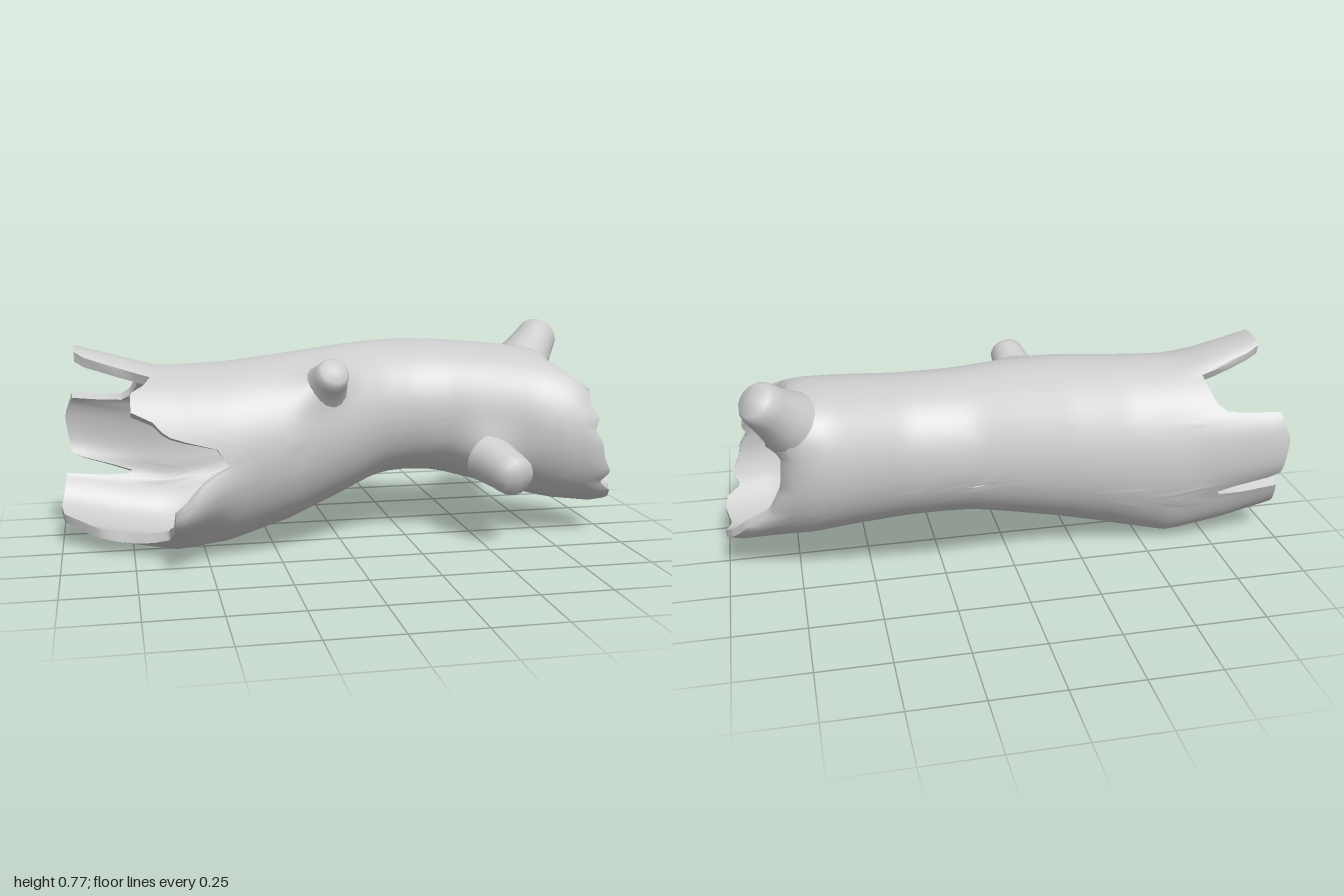
import * as THREE from 'three';
import { mergeVertices, toCreasedNormals } from 'three/addons/utils/BufferGeometryUtils.js';

const { clamp, degToRad, smoothstep } = THREE.MathUtils;
const material = new THREE.MeshStandardMaterial({ color: 0xcccccc, side: THREE.DoubleSide });

// Outline of the trunk along x: [x, bottom y, top y, back z, front z]
const SECTIONS = [
  [-1.0, 0.09, 0.68, -0.28, 0.24], [-0.8, 0.04, 0.67, -0.28, 0.25], [-0.6, 0.005, 0.665, -0.28, 0.27],
  [-0.42, 0.03, 0.672, -0.275, 0.28], [-0.2, 0.095, 0.695, -0.295, 0.26], [0, 0.165, 0.713, -0.335, 0.18],
  [0.15, 0.22, 0.72, -0.38, 0.115], [0.25, 0.23, 0.722, -0.387, 0.095], [0.38, 0.225, 0.72, -0.378, 0.095],
  [0.55, 0.185, 0.71, -0.335, 0.15], [0.7, 0.145, 0.695, -0.3, 0.205], [0.8, 0.125, 0.67, -0.25, 0.225],
  [1.0, 0.105, 0.6, -0.2, 0.23],
];
// Broken ends: [angle in degrees, x]; 0 faces front, 90 up, 180 back, 270 down
const LEFT_END = [
  [0, -0.43], [12, -0.47], [22, -0.64], [30, -0.68], [36, -0.75], [50, -0.75], [58, -0.7], [66, -0.68],
  [71, -0.76], [76, -0.93], [106, -0.93], [111, -0.82], [117, -0.71], [128, -0.72], [140, -0.74], [148, -0.78],
  [153, -0.95], [170, -0.98], [194, -0.96], [200, -0.74], [205, -0.76], [210, -0.98], [240, -1.0], [252, -0.99],
  [262, -0.93], [280, -0.86], [288, -0.76], [300, -0.68], [310, -0.63], [345, -0.62], [353, -0.53], [360, -0.43],
];
const RIGHT_END = [
  [0, 0.93], [10, 0.9], [20, 0.92], [30, 0.89], [48, 0.9], [56, 0.85], [66, 0.79], [90, 0.78], [115, 0.82],
  [140, 0.84], [160, 0.79], [185, 0.8], [205, 0.84], [220, 0.93], [240, 0.98], [255, 1.0], [275, 0.98],
  [300, 1.0], [312, 0.99], [322, 0.94], [335, 0.97], [348, 0.94], [360, 0.93],
];
// Swellings of the bark at the branch feet: [x, angle, height, spread in x, spread in angle]
const SWELLINGS = [[-0.085, 40, 0.045, 0.08, 15], [0.52, 331, 0.05, 0.1, 20], [0.78, 138, 0.06, 0.1, 24]];

// Linear lookup in a table; returns the row's values after the key
function lookup(table, key) {
  let i = 1;
  while (i < table.length - 1 && table[i][0] < key) i++;
  const [a, b] = [table[i - 1], table[i]];
  const t = clamp((key - a[0]) / (b[0] - a[0]), 0, 1);
  return a.slice(1).map((v, k) => v + (b[k + 1] - v) * t);
}

// Signed angle from centre to deg, and a bell curve
const turn = (deg, centre) => ((deg - centre + 540) % 360) - 180;
const bell = (d, spread) => Math.exp(-((d / spread) ** 2));

// Outward flare of the left end: front lip, top and back splinters, sagging lower back
function flareAt(x, deg) {
  const d = turn(deg, 345);
  const lip = 0.45 * bell(d, d < 0 ? 20 : 13) * bell(x + 0.62, 0.13);
  const bend = clamp((-0.66 - x) / 0.28, 0, 1);
  const top = 0.22 * bend * Math.exp(-(((deg - 91) / 22) ** 4));
  const back = 0.2 * bend * Math.exp(-(((deg - 172) / 27) ** 4));
  const sag = 0.08 * bell(deg - 232, 25) * smoothstep(-x, 0.35, 0.65);
  return 1 + lip + top + back + sag;
}

// Point on the trunk wall, inset from the bark
function wallPoint(x, deg, inset) {
  const [y0, y1, z0, z1] = lookup(SECTIONS, x);
  const a = degToRad(deg), f = flareAt(x, deg);
  const ry = ((y1 - y0) / 2) * f - inset, rz = ((z1 - z0) / 2) * f - inset;
  return [x, Math.max(0, (y0 + y1) / 2 + ry * Math.sin(a)), (z0 + z1) / 2 + rz * Math.cos(a)];
}

// Hollow shell: along the outside, round the broken rim, back along the inside
function trunkGeometry() {
  const around = 120, along = 44, rows = 2 * (along + 1);
  const pos = [], index = [];
  for (let r = 0; r < rows; r++) {
    const inner = r > along;
    const u = (inner ? rows - 1 - r : r) / along;
    for (let j = 0; j < around; j++) {
      const deg = (j * 360) / around;
      const [xl] = lookup(LEFT_END, deg), [xr] = lookup(RIGHT_END, deg);
      const x = xl + (xr - xl) * u;
      // the wall is thickest below the back branch at the right end
      const knot = 0.09 * bell(deg - 118, 58) * smoothstep(u, 0.6, 1);
      const thickness = 0.035 + 0.02 * Math.sin(Math.PI * u) + knot;
      const roll = u === 1 ? 0.25 * thickness : 0;
      const swell = SWELLINGS.reduce((s, [cx, ca, h, sx, sa]) => s + h * bell(x - cx, sx) * bell(turn(deg, ca), sa), 0);
      pos.push(...wallPoint(x, deg, inner ? thickness : roll - swell));
    }
  }
  for (let r = 0; r < rows; r++) {
    for (let j = 0; j < around; j++) {
      const k = (j + 1) % around, s = (r + 1) % rows;
      const a = r * around + j, b = s * around + j, c = s * around + k, d = r * around + k;
      index.push(a, b, c, a, c, d);
    }
  }
  const g = new THREE.BufferGeometry();
  g.setAttribute('position', new THREE.Float32BufferAttribute(pos, 3));
  g.setIndex(index);
  return toCreasedNormals(g, 1.1);
}

// Turned stub from base to tip with a flared foot and softly rounded cut
function stub(name, base, tip, radius, flare) {
  const from = new THREE.Vector3(...base), dir = new THREE.Vector3(...tip).sub(from);
  const h = dir.length();
  const profile = [[flare, 0], [1 + (flare - 1) * 0.6, 0.25], [1 + (flare - 1) * 0.28, 0.48], [1.03, 0.7],
    [0.95, 0.9], [0.78, 1], [0, 1.03]].map(([r, y]) => new THREE.Vector2(r * radius, y * h));
  const g = new THREE.LatheGeometry(profile, 16);
  g.deleteAttribute('uv');
  g.deleteAttribute('normal');
  const mesh = new THREE.Mesh(toCreasedNormals(mergeVertices(g), 0.9), material);
  mesh.name = name;
  mesh.position.copy(from);
  mesh.quaternion.setFromUnitVectors(new THREE.Vector3(0, 1, 0), dir.normalize());
  return mesh;
}

export function createModel() {
  const log = new THREE.Group();
  log.name = 'hollowLog';

  const trunk = new THREE.Mesh(trunkGeometry(), material);
  trunk.name = 'trunk';
  log.add(trunk);

  // Broken branches
  log.add(
    stub('upperFrontBranch', [-0.085, 0.585, 0.135], [-0.065, 0.66, 0.235], 0.06, 1.5),
    stub('lowerFrontBranch', [0.525, 0.315, 0.12], [0.595, 0.262, 0.28], 0.075, 1.25),
    stub('backBranch', [0.755, 0.61, -0.19], [0.862, 0.73, -0.275], 0.077, 1.4),
  );
  return log;
}
